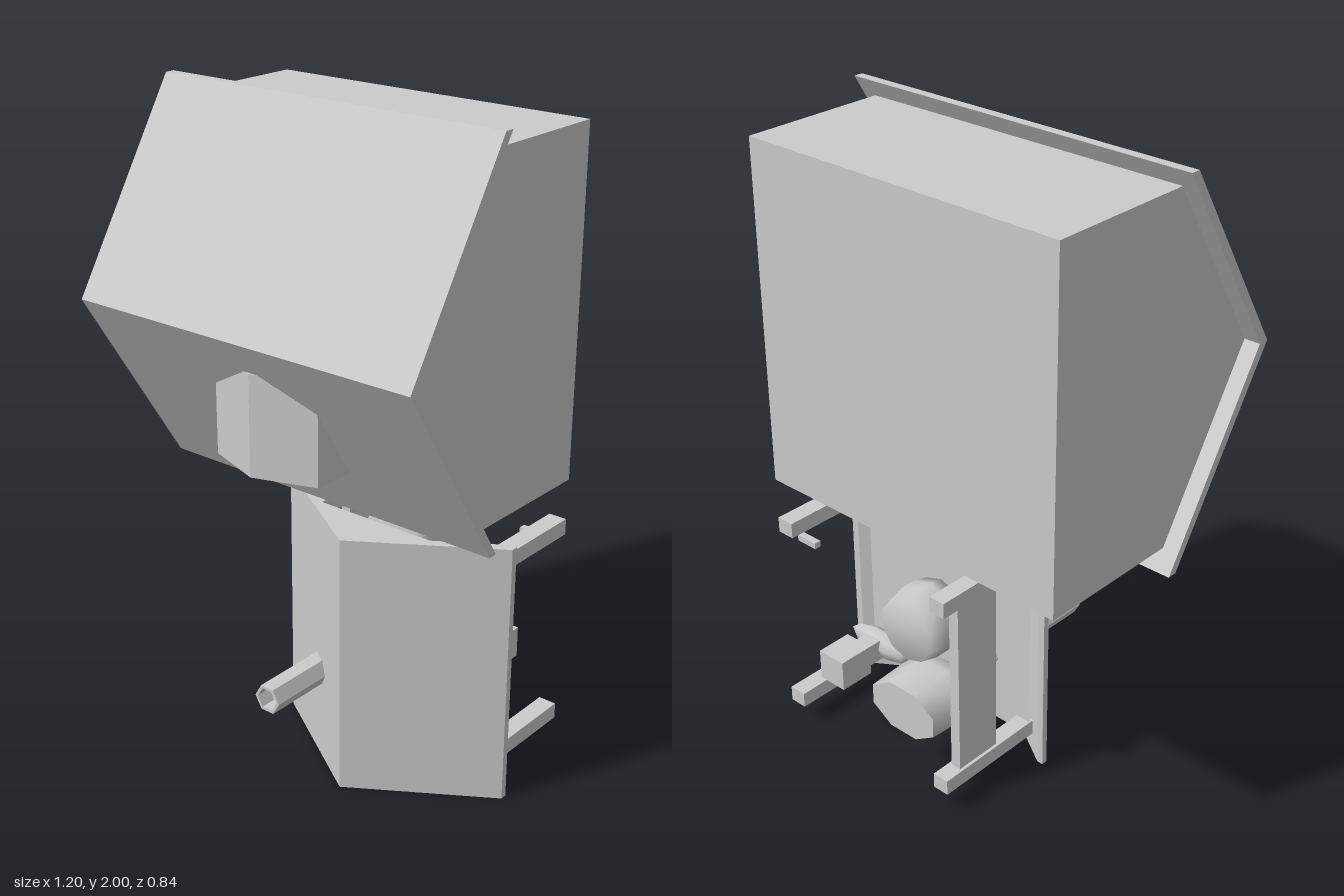
import * as THREE from 'three';

const flat = new THREE.MeshStandardMaterial({ color: 0xcccccc, flatShading: true });
const smooth = new THREE.MeshStandardMaterial({ color: 0xcccccc });

export function createModel() {
  const model = new THREE.Group();
  const add = (name, geometry, material = flat) => {
    const mesh = new THREE.Mesh(geometry, material);
    mesh.name = name;
    model.add(mesh);
    return mesh;
  };
  const extrude = (pts, depth) => new THREE.ExtrudeGeometry(
    new THREE.Shape(pts.map(([a, b]) => new THREE.Vector2(a, b))),
    { depth, bevelEnabled: false });
  // Prism along x from a (z, y) profile
  const prismX = (name, pts, x0, x1) => add(name,
    extrude(pts.map(([z, y]) => [-z, y]), x1 - x0).rotateY(Math.PI / 2).translate(x0, 0, 0));
  // Prism along y from an (x, z) profile
  const prismY = (name, pts, y0, y1) => add(name,
    extrude(pts.map(([x, z]) => [x, -z]), y1 - y0).rotateX(-Math.PI / 2).translate(0, y0, 0));
  const box = (name, x0, x1, y0, y1, z0, z1) => add(name,
    new THREE.BoxGeometry(x1 - x0, y1 - y0, z1 - z0)
      .translate((x0 + x1) / 2, (y0 + y1) / 2, (z0 + z1) / 2));

  // Main house, whose roof ridge points to the front
  prismX('houseWalls', [[-0.415, 0.885], [0.055, 0.885], [0.385, 1.413],
    [0.055, 1.945], [-0.415, 1.945]], -0.55, 0.533);
  prismX('houseRoof', [[0.05, 0.825], [0.42, 1.41], [0.05, 2], [0.02, 2],
    [0.385, 1.41], [0.02, 0.825]], -0.6, 0.58);
  prismY('dormer', [[-0.195, 0.12], [-0.195, 0.3], [-0.01, 0.365],
    [0.18, 0.3], [0.18, 0.12]], 1.005, 1.31);

  // Lean-to workshop roof and its gable
  prismY('workshopRoof', [[-0.22, -0.04], [0.19, 0.22], [0.595, -0.04],
    [0.595, -0.06], [0.57, -0.06], [0.19, 0.185], [-0.2, -0.06], [-0.22, -0.06]], 0, 0.82);
  prismY('workshopGable', [[-0.155, -0.045], [0.19, 0.187], [0.53, -0.045]], 0.07, 0.755);

  // Four posts, and the side panel between two of them
  for (const [x0, x1] of [[-0.155, -0.1], [0.472, 0.53]])
    for (const [y0, y1] of [[0.07, 0.12], [0.705, 0.755]])
      box('post', x0, x1, y0, y1, -0.417, -0.03);
  box('sidePanel', -0.145, -0.11, 0.12, 0.705, -0.35, -0.19);
  box('postHook', 0.4, 0.475, 0.685, 0.705, -0.392, -0.37);

  // Stove with tapering hood
  const hood = [[0.125, 0.08, -0.42], [0.13, 0.09, -0.28], [0.11, 0.08, -0.24], [0.06, 0.05, -0.2]];
  const stove = new THREE.CylinderGeometry(1, 1, 1, 8, hood.length - 1);
  stove.rotateY(Math.PI / 8).rotateX(Math.PI / 2);
  const p = stove.attributes.position;
  for (let i = 0; i < p.count; i++) {
    const [w, h, z] = hood[Math.round((p.getZ(i) + 0.5) * (hood.length - 1))];
    p.setXYZ(i, 0.02 + p.getX(i) * w * 1.08, 0.294 + p.getY(i) * h * 1.08, z);
  }
  stove.computeVertexNormals();
  add('stove', stove, smooth);

  // Six-sided stove pipe with a hollow mouth
  const pipe = new THREE.LatheGeometry([[0.046, -0.24], [0.046, 0.35], [0.036, 0.35],
    [0.036, 0.3], [0, 0.3]].map(([r, y]) => new THREE.Vector2(r, y)), 6);
  add('stovePipe', pipe.rotateY(Math.PI / 6 + Math.PI / 3)
    .rotateX(Math.PI / 2).rotateZ(0).translate(0.023, 0.298, 0),
  new THREE.MeshStandardMaterial({ color: 0xcccccc, flatShading: true, side: THREE.DoubleSide }));

  // Water barrel
  const barrel = new THREE.LatheGeometry([[0, -0.415], [0.1, -0.415], [0.113, -0.36],
    [0.113, -0.31], [0.103, -0.265], [0, -0.265]].map(([r, y]) => new THREE.Vector2(r, y)), 10);
  add('barrel', barrel.rotateX(Math.PI / 2).translate(0, 0.59, 0), smooth);

  // Anvil on its block
  box('anvilBlock', 0.28, 0.38, 0.235, 0.335, -0.417, -0.3);
  box('anvilWaist', 0.3, 0.36, 0.255, 0.315, -0.31, -0.23);
  const anvil = new THREE.LatheGeometry([[0, -0.12], [0.03, -0.11], [0.045, -0.05],
    [0.045, 0.03], [0.028, 0.09], [0, 0.125]].map(([r, y]) => new THREE.Vector2(r, y)), 8);
  add('anvil', anvil.rotateZ(-Math.PI / 2).scale(1, 1, 0.75).translate(0.325, 0.285, -0.213), smooth);

  return model;
}
